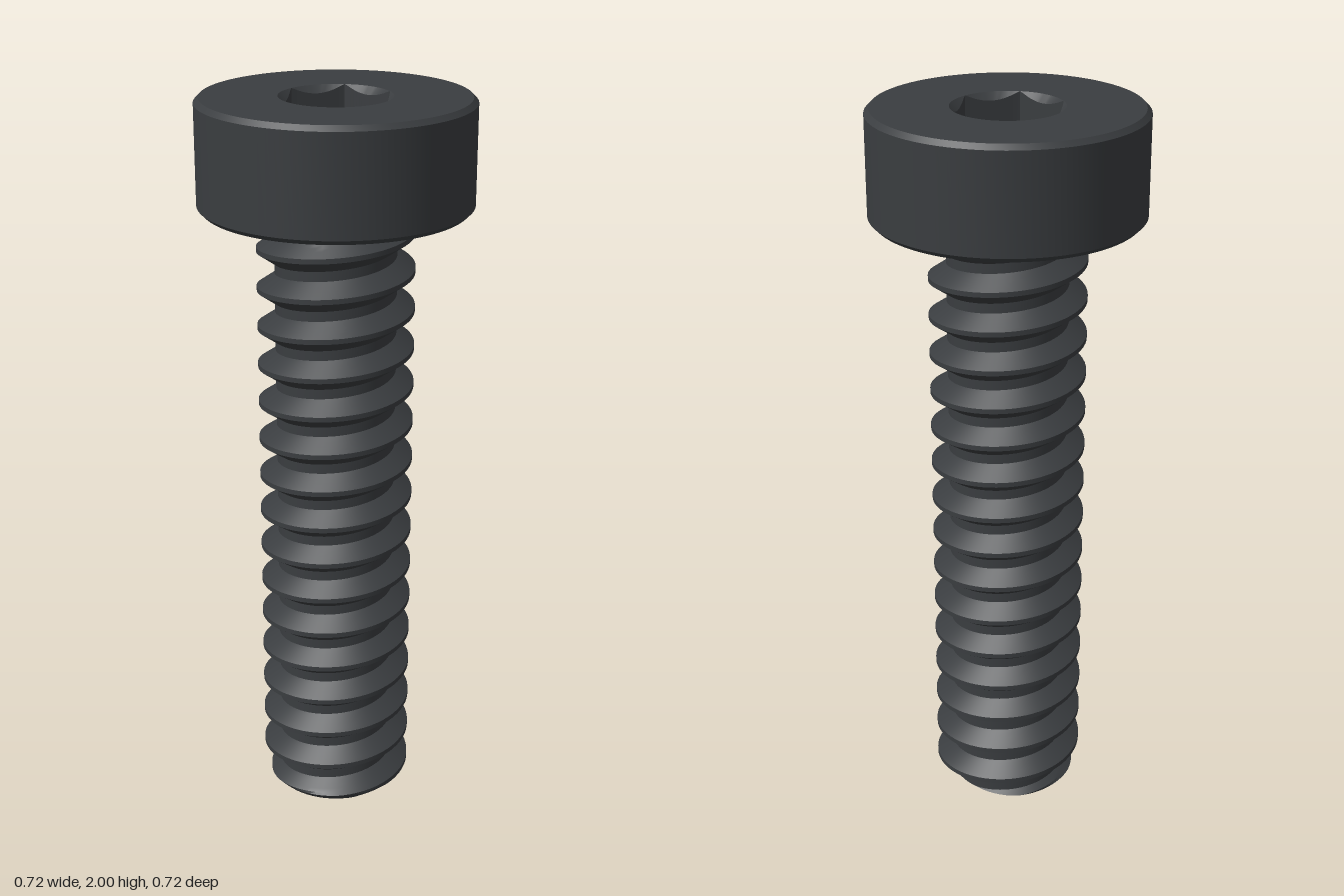
import * as THREE from 'three';
import { toCreasedNormals } from 'three/addons/utils/BufferGeometryUtils.js';

const TOP = 2, HEAD_BASE = 1.71, HEAD_R = 0.362, CHAMFER = 0.013;
const CREST_R = 0.21, ROOT_R = 0.162, PITCH = 0.107, CREST_Y = 1.643;
const SOCKET_R = 0.148, SOCKET_APOTHEM = 0.129, SOCKET_DEPTH = 0.17;
const clamp = THREE.MathUtils.clamp;

// Surface wound around the y axis; at(angle, row) returns [radius, height]
function woundSurface(segments, rows, at, crease) {
  const positions = [], index = [];
  for (let j = 0; j < rows; j++) {
    for (let i = 0; i <= segments; i++) {
      const t = (i / segments) * Math.PI * 2;
      const [r, y] = at(t, j);
      positions.push(r * Math.cos(t), y, -r * Math.sin(t));
    }
  }
  const point = (k) => new THREE.Vector3().fromArray(positions, k * 3);
  const addTriangle = (a, b, c) => {
    if (new THREE.Triangle(point(a), point(b), point(c)).getArea() > 1e-9) index.push(a, b, c);
  };
  for (let j = 0; j < rows - 1; j++) {
    for (let i = 0; i < segments; i++) {
      const a = j * (segments + 1) + i, d = a + segments + 1;
      addTriangle(a, a + 1, d + 1);
      addTriangle(a, d + 1, d);
    }
  }
  const geometry = new THREE.BufferGeometry();
  geometry.setAttribute('position', new THREE.Float32BufferAttribute(positions, 3));
  geometry.setIndex(index);
  return toCreasedNormals(geometry, crease);
}

// Radius of the right-handed thread, with end chamfer and fillet under the head
function threadRadius(t, y) {
  const phase = (y - CREST_Y) / PITCH - t / (Math.PI * 2);
  const d = Math.abs(phase - Math.round(phase));
  const thread = THREE.MathUtils.lerp(CREST_R, ROOT_R, clamp((d - 0.0625) / 0.3125, 0, 1));
  const fillet = 0.23 - (HEAD_BASE - y) * 1.4;
  return Math.max(Math.min(thread, 0.18 + y), fillet);
}

// Radius of the hexagon at an angle, corners on the x axis
function hexRadius(t) {
  const sector = Math.PI / 3;
  return SOCKET_APOTHEM / Math.cos((t % sector) - sector / 2);
}

export function createModel() {
  const group = new THREE.Group();
  const material = new THREE.MeshStandardMaterial({ color: 0x3a3d40 });
  const add = (name, geometry) => {
    const mesh = new THREE.Mesh(geometry, material);
    mesh.name = name;
    group.add(mesh);
  };

  // Cylindrical head with chamfered edges, open where the socket begins
  const headProfile = [
    [ROOT_R, HEAD_BASE], [HEAD_R - CHAMFER, HEAD_BASE], [HEAD_R, HEAD_BASE + CHAMFER],
    [HEAD_R, TOP - CHAMFER], [HEAD_R - CHAMFER, TOP], [SOCKET_R, TOP],
  ].map(([r, y]) => new THREE.Vector2(r, y));
  add('head', toCreasedNormals(new THREE.LatheGeometry(headProfile, 96), 0.5));

  // Hexagonal socket: countersunk rim, six walls, flat floor
  const floor = TOP - SOCKET_DEPTH;
  add('hexSocket', woundSurface(96, 4, (t, j) => {
    const r = Math.min(hexRadius(t), SOCKET_R);
    return [[SOCKET_R, TOP], [r, TOP - (SOCKET_R - r)], [r, floor], [0, floor]][j];
  }, 0.5));

  // Threaded shank: rows follow the helix and are trimmed at both ends
  const perPitch = 16;
  const below = Math.ceil(CREST_Y / PITCH + 1) * perPitch;
  const rows = below + 2 * perPitch;
  add('threadedShank', woundSurface(64, rows, (t, j) => {
    if (j === 0) return [0, 0];
    const s = CREST_Y + ((j - below) / perPitch) * PITCH + (PITCH * t) / (Math.PI * 2);
    const y = clamp(s, 0, HEAD_BASE);
    return [threadRadius(t, y), y];
  }, 0.45));

  return group;
}
